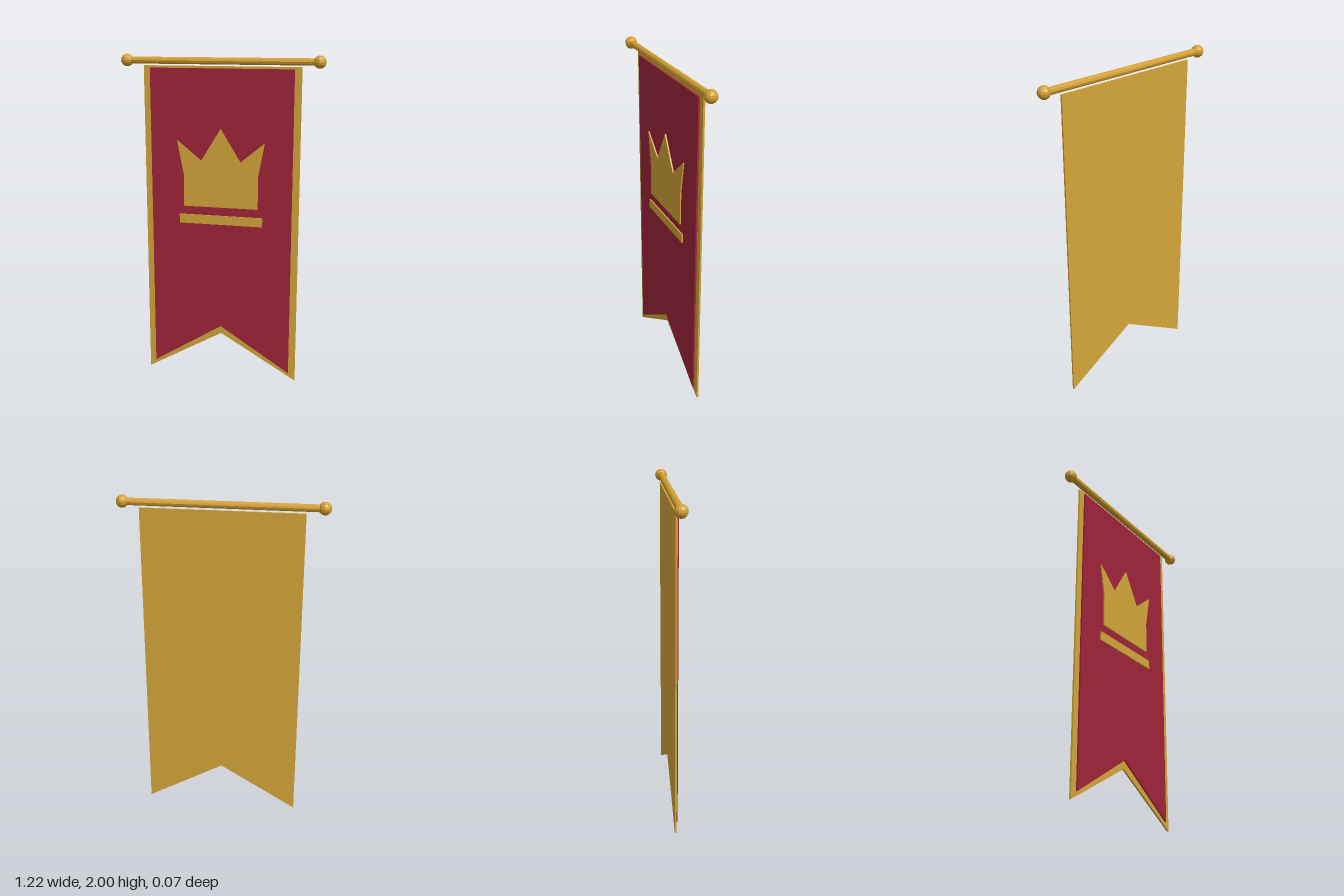
import * as THREE from 'three';

const mat = (color, flatShading = false) => new THREE.MeshStandardMaterial({ color, flatShading });

// Flat panel cut from an outline, from z = back to z = front
function panel(name, points, back, front, material) {
  const shape = new THREE.Shape(points.map(([x, y]) => new THREE.Vector2(x, y)));
  const geo = new THREE.ExtrudeGeometry(shape, { depth: front - back, bevelEnabled: false });
  geo.translate(0, 0, back);
  const mesh = new THREE.Mesh(geo, material);
  mesh.name = name;
  return mesh;
}

// Swallow-tailed banner outline
const swallowtail = (w, top, bottom, notch) =>
  [[-w, bottom], [0, notch], [w, bottom], [w, top], [-w, top]];

export function createModel() {
  const model = new THREE.Group();
  model.name = 'banner';
  const gold = mat(0xd4a63a);
  const brass = mat(0xd4a030, true);
  const red = mat(0xa0243a);

  // Gold backing cloth and red front cloth
  model.add(panel('trim', swallowtail(0.473, 1.933, 0.005, 0.277), -0.017, -0.006, gold));
  model.add(panel('cloth', swallowtail(0.432, 1.92, 0.055, 0.327), -0.006, 0.004, red));

  // Crown emblem: mirror the right half of its outline
  const half = [[0.228, 1.095], [0.228, 1.29], [0.267, 1.495], [0.12, 1.375]];
  const mirrored = half.map(([x, y]) => [-x, y]).reverse();
  model.add(panel('crown', [...half, [0, 1.57], ...mirrored], 0.004, 0.012, gold));
  model.add(panel('crownBand',
    [[-0.257, 0.988], [0.257, 0.988], [0.257, 1.043], [-0.257, 1.043]], 0.004, 0.012, gold));

  // Pole with a ball at each end
  const pole = new THREE.Mesh(new THREE.CylinderGeometry(0.021, 0.021, 1.15, 10), brass);
  pole.name = 'pole';
  pole.rotation.z = Math.PI / 2;
  pole.position.y = 1.963;
  model.add(pole);
  for (const side of [-1, 1]) {
    const ball = new THREE.Mesh(new THREE.SphereGeometry(0.037, 12, 8), brass);
    ball.name = side > 0 ? 'leftFinial' : 'rightFinial';
    ball.position.set(side * 0.573, 1.963, 0);
    model.add(ball);
  }
  return model;
}
